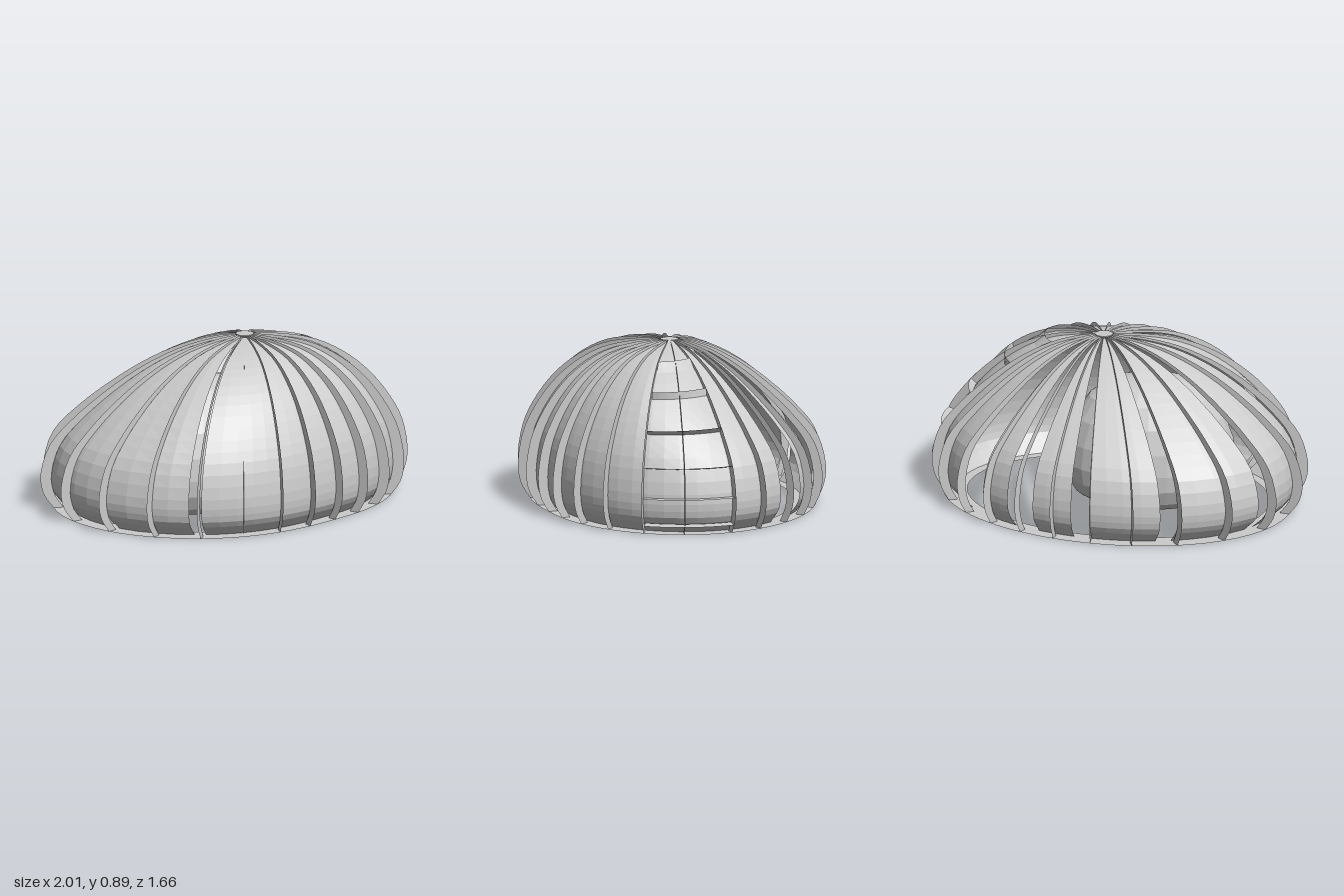
import * as THREE from 'three';
import { ParametricGeometry } from 'three/addons/geometries/ParametricGeometry.js';

const APEX = { x: 0.08, z: 0.08 };
const SKEW = 0.175;         // the oval plan leans towards +x +z
const FIN = 0.055;          // how far the fins stand out of the shell
const rad = THREE.MathUtils.degToRad;

// Meridian: height, radius fraction of the full (front) and lean (back) side
const MERIDIAN = [
  [0, 0.92, 0.94], [0.08, 0.98, 0.985], [0.18, 1, 1], [0.35, 0.97, 0.95],
  [0.5, 0.89, 0.81], [0.65, 0.76, 0.62], [0.76, 0.61, 0.45],
  [0.84, 0.43, 0.28], [0.88, 0.22, 0.14], [0.893, 0.045, 0.045],
];
const meridian = new THREE.CatmullRomCurve3(
  MERIDIAN.map(([y, full, lean]) => new THREE.Vector3(full, y, lean)));

const material = new THREE.MeshStandardMaterial({
  color: 0xcccccc, flatShading: true, side: THREE.DoubleSide,
});

// Swelling of the plan at the front right corner, centred on 145 degrees
function swelling(angle) {
  const turn = Math.atan2(Math.sin(angle - rad(145)), Math.cos(angle - rad(145)));
  return Math.abs(turn) < rad(60) ? 0.095 * Math.cos(turn * 1.5) ** 2 : 0;
}

// How far the meridian is blended from lean (0) to full (1)
function fullness(angle) {
  const s = Math.sin(angle);
  return THREE.MathUtils.clamp(0.35 - 0.2 * Math.cos(angle) + s * (s > 0 ? 1.3 : 0.5), 0, 1);
}

// Distance from the apex axis to the plan outline, along an angle
function reach(angle, off) {
  const a = 0.945 + off, b = 0.775 + off;
  const px = APEX.x / a, pz = APEX.z / b;
  const dx = Math.cos(angle) / a, dz = Math.sin(angle) / b;
  const A = dx * dx + dz * dz - 2 * SKEW * dx * dz;
  const B = px * dx + pz * dz - SKEW * (px * dz + pz * dx);
  const C = px * px + pz * pz - 2 * SKEW * px * pz - (1 - SKEW * SKEW);
  return (-B + Math.sqrt(B * B - A * C)) / A * (1 + swelling(angle));
}

// Point of the dome at an angle (radians) and meridian position t (0 foot, 1 apex)
function domePoint(angle, t, off, target) {
  const m = meridian.getPoint(t);
  const r = reach(angle, off) * THREE.MathUtils.lerp(m.z, m.x, fullness(angle));
  const y = m.y * (0.985 + 0.015 * off / FIN);
  return target.set(APEX.x + r * Math.cos(angle), y, APEX.z + r * Math.sin(angle));
}

// Meridian position for a height
function atHeight(y) {
  let lo = 0, hi = 1;
  for (let i = 0; i < 30; i++) {
    const mid = (lo + hi) / 2;
    if (meridian.getPoint(mid).y < y) lo = mid; else hi = mid;
  }
  return lo;
}

// Outline of the dome's foot, moved in or out
function footOutline(off) {
  const p = new THREE.Vector3();
  return Array.from({ length: 72 }, (_, i) => {
    domePoint(rad(-5 * i), 0, off, p);
    return new THREE.Vector2(p.x, -p.z);
  });
}

export function createModel() {
  const model = new THREE.Group();
  const add = (name, geometry, parent = model) => {
    const mesh = new THREE.Mesh(geometry, material);
    mesh.name = name;
    parent.add(mesh);
    return mesh;
  };
  const group = (name) => {
    const g = new THREE.Group();
    g.name = name;
    model.add(g);
    return g;
  };

  // Flat oval base ring under the fin feet
  const ring = new THREE.Shape(footOutline(FIN));
  ring.holes.push(new THREE.Path(footOutline(FIN - 0.14)));
  add('baseRing', new THREE.ShapeGeometry(ring).rotateX(-Math.PI / 2));

  // Shell panels tucked in at the foot, with slots that widen around the back
  const panels = group('shellPanels');
  const spans = [[-22, 153.5], [157.5, 184], [186, 214], [217.5, 244], [249.5, 274], [281.5, 298], [310, 323]];
  for (const [from, to] of spans) {
    const slices = Math.max(3, Math.round((to - from) / 6));
    add('shellPanel', new ParametricGeometry((u, v, p) =>
      domePoint(rad(to + (from - to) * u), v, -0.03 * Math.max(0, 1 - v * 9), p), slices, 24), panels);
  }

  // Thin upright fins, one every 15 degrees; the first is turned a little
  const fins = group('fins');
  for (let i = 0; i < 24; i++) {
    const angle = rad(i === 0 ? 1.5 : 4 + 15 * i);
    add('fin', new ParametricGeometry((u, v, p) =>
      domePoint(angle, v, FIN * u, p), 1, 30), fins);
  }

  // Thin curved louvres between the fins on the left side, square to the shell
  const louvres = group('louvres');
  for (const y of [0.055, 0.2, 0.355, 0.525, 0.69, 0.805, 0.865]) {
    const inner = atHeight(y), outer = atHeight(y + (y - 0.2) * 0.06);
    add('louvre', new ParametricGeometry((u, v, p) =>
      domePoint(rad(1.5 + 32 * u), v > 0.5 ? outer : inner, FIN * v, p), 8, 1), louvres);
  }

  // Small cap where the fins meet
  const cap = add('apexCap', new THREE.CylinderGeometry(0.048, 0.048, 0.006, 24));
  cap.position.set(APEX.x, 0.89, APEX.z);

  // Rounded inner room with a flat floor
  const roomProfile = [[0, 0.003], [0.68, 0.003], [0.86, 0.05], [0.97, 0.13], [1, 0.22], [0.97, 0.34],
    [0.87, 0.47], [0.7, 0.58], [0.45, 0.66], [0.2, 0.69], [0, 0.7]]
    .map(([r, y]) => new THREE.Vector2(r, y));
  const room = add('innerRoom', new THREE.LatheGeometry(roomProfile, 28));
  room.scale.set(0.46, 1, 0.325);
  room.position.set(-0.165, 0, 0);

  return model;
}
